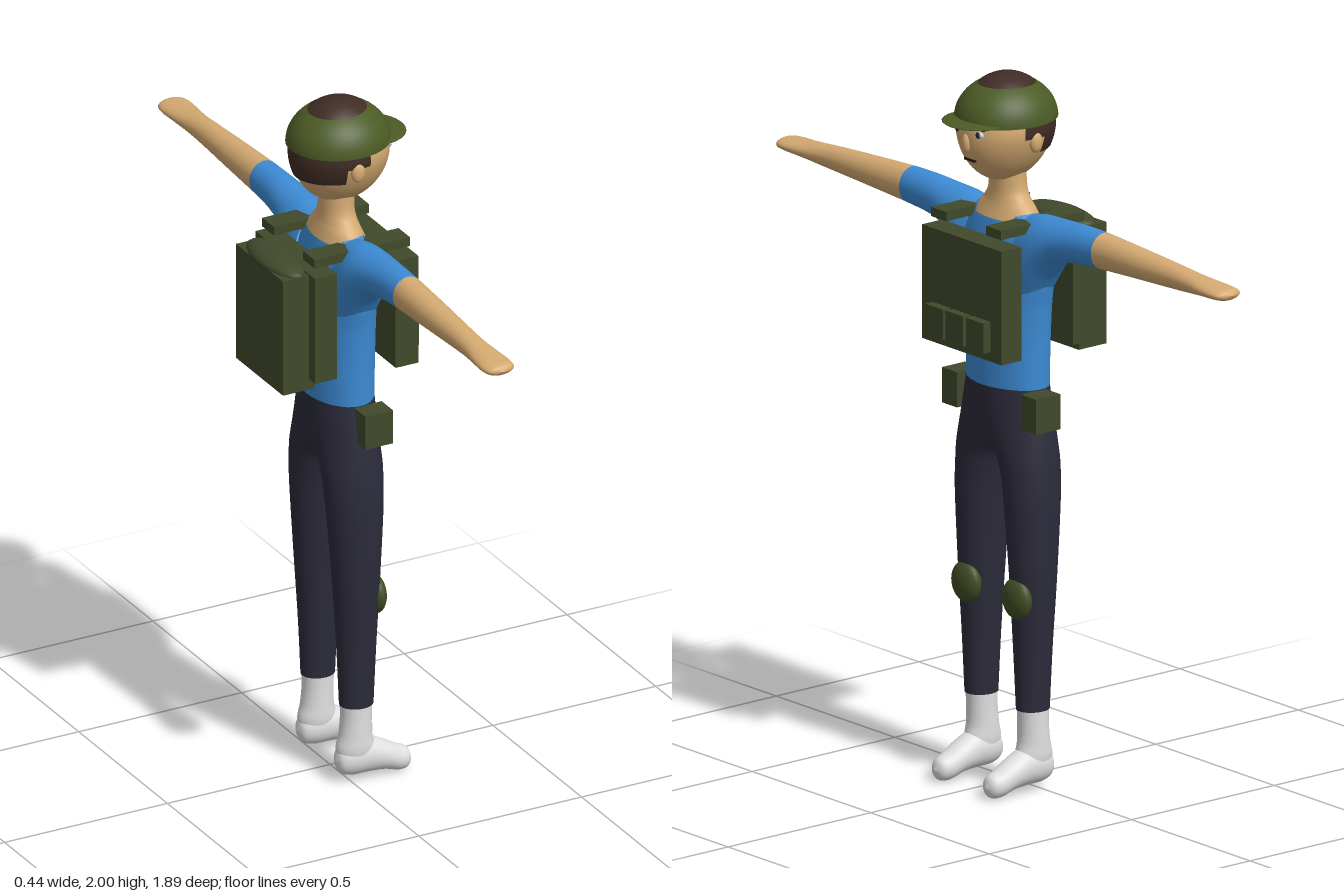
import * as THREE from 'three';

const mat = (name, color, side = THREE.FrontSide) => {
  const m = new THREE.MeshStandardMaterial({ color, side });
  m.name = name;
  return m;
};

// Smooth tube of elliptical rings [s, centre1, radius1, centre2, radius2] along an axis
function loft(axis, rings, steps = 6, seg = 32) {
  const times = rings.map((_, i) => i);
  const spline = new THREE.CubicInterpolant(new Float32Array(times), new Float32Array(rings.flat()), 5);
  const rows = (rings.length - 1) * steps;
  const pos = [], idx = [];
  for (let i = 0; i <= rows; i++) {
    const [s, c1, r1, c2, r2] = spline.evaluate(i / steps);
    for (let j = 0; j < seg; j++) {
      const a = (j / seg) * Math.PI * 2;
      const u = c1 + Math.max(r1, 0) * Math.cos(a), v = c2 + Math.max(r2, 0) * Math.sin(a);
      if (axis === 'x') pos.push(s, u, v);
      else if (axis === 'y') pos.push(u, s, v);
      else pos.push(u, v, s);
    }
  }
  const forward = (axis !== 'y') === (rings[rings.length - 1][0] > rings[0][0]);
  for (let i = 0; i < rows; i++) {
    for (let j = 0; j < seg; j++) {
      const a = i * seg + j, b = i * seg + (j + 1) % seg, c = a + seg, d = b + seg;
      if (forward) idx.push(a, b, d, a, d, c);
      else idx.push(a, d, b, a, c, d);
    }
  }
  const g = new THREE.BufferGeometry();
  g.setAttribute('position', new THREE.Float32BufferAttribute(pos, 3));
  g.setIndex(idx);
  g.computeVertexNormals();
  return g;
}

// Ellipsoid part, narrowed towards the chin
function skull(center, radii, ...angles) {
  const g = new THREE.SphereGeometry(1, 40, 28, ...angles);
  const p = g.attributes.position;
  for (let i = 0; i < p.count; i++) {
    const y = p.getY(i);
    p.setZ(i, p.getZ(i) * (1 - 0.22 * Math.max(0, -y)));
  }
  g.scale(...radii).translate(...center);
  g.computeVertexNormals();
  return g;
}

export function createModel() {
  const skin = mat('skin', 0xd6ab72);
  const hair = mat('hair', 0x3f2c25, THREE.DoubleSide);
  const capGreen = mat('cap green', 0x4c5b25, THREE.DoubleSide);
  const gear = mat('gear green', 0x404a2b);
  const padGreen = mat('pad green', 0x414d24);
  const shirt = mat('shirt blue', 0x3d8cd6, THREE.DoubleSide);
  const trousers = mat('trouser navy', 0x2c2b3b, THREE.DoubleSide);
  const white = mat('white', 0xe0e0e0);
  const iris = mat('iris blue', 0x1c2a48);
  const dark = mat('dark brown', 0x2a1a16);

  const model = new THREE.Group();
  const add = (name, geometry, material) => {
    const m = new THREE.Mesh(geometry, material);
    m.name = name;
    model.add(m);
    return m;
  };
  const box = (name, m, x0, x1, y0, y1, z0, z1) =>
    add(name, new THREE.BoxGeometry(x1 - x0, y1 - y0, Math.abs(z1 - z0))
      .translate((x0 + x1) / 2, (y0 + y1) / 2, (z0 + z1) / 2), m);
  const ball = (name, m, c, r) =>
    add(name, new THREE.SphereGeometry(1, 24, 16).scale(...r).translate(...c), m);

  // Torso and neck
  add('torso', loft('y', [
    [1.132, 0.018, 0.09, 0, 0.14], [1.25, 0.018, 0.092, 0, 0.142], [1.36, 0.018, 0.092, 0, 0.15],
    [1.44, 0.018, 0.09, 0, 0.163], [1.52, 0.02, 0.08, 0, 0.165], [1.585, 0.02, 0.066, 0, 0.14],
    [1.62, 0.019, 0.055, 0, 0.105], [1.638, 0.018, 0.045, 0, 0.075],
  ]), shirt);
  add('neck', loft('y', [
    [1.6, 0.019, 0.066, 0, 0.118], [1.628, 0.018, 0.056, 0, 0.098], [1.65, 0.018, 0.05, 0, 0.076],
    [1.68, 0.018, 0.047, 0, 0.06], [1.74, 0.02, 0.047, 0, 0.055],
  ]), skin);

  // Head, hair and face
  const hairC = [0.024, 1.849, 0], hairR = [0.139, 0.151, 0.127];
  add('head', skull([0.03, 1.845, 0], [0.138, 0.146, 0.123]), skin);
  add('hairCrown', skull(hairC, hairR, 0, Math.PI * 2, 0, 1.36), hair);
  add('hairSides', skull(hairC, hairR, -1.82, 3.64, 1.2, 0.44), hair);
  add('hairBack', skull(hairC, hairR, -1.32, 2.64, 1.2, 0.77), hair);
  ball('nose', skin, [0.164, 1.825, 0], [0.012, 0.028, 0.015]);
  box('mouth', dark, 0.146, 0.154, 1.772, 1.779, -0.022, 0.022);
  for (const s of [1, -1]) {
    ball('ear', skin, [0.02, 1.828, s * 0.12], [0.02, 0.03, 0.014]);
    ball('eyeWhite', white, [0.155, 1.855, s * 0.043], [0.006, 0.01, 0.018]);
    ball('iris', iris, [0.159, 1.855, s * 0.043], [0.004, 0.009, 0.009]);
    box('eyebrow', dark, 0.146, 0.155, 1.868, 1.873, s * 0.027, s * 0.061);
  }

  // Cap open at the crown, with a flat peak
  add('cap', new THREE.SphereGeometry(1, 40, 16, 0, Math.PI * 2, 0, Math.PI / 2)
    .scale(0.146, 0.116, 0.134).translate(0.025, 1.875, 0), capGreen);
  ball('capPeak', capGreen, [0.125, 1.881, 0], [0.095, 0.008, 0.1]);

  for (const s of [1, -1]) {
    // Arms
    add('sleeve', loft('z', [
      [0.1, 0.018, 0.078, 1.475, 0.145], [0.15, 0.018, 0.076, 1.52, 0.11], [0.19, 0.018, 0.07, 1.55, 0.082],
      [0.24, 0.018, 0.06, 1.573, 0.061], [0.31, 0.018, 0.051, 1.583, 0.055], [0.405, 0.018, 0.046, 1.587, 0.051],
    ].map(([z, ...r]) => [s * z, ...r])), shirt);
    add('forearmAndHand', loft('z', [
      [0.405, 0.018, 0.046, 1.587, 0.051], [0.55, 0.018, 0.042, 1.587, 0.043], [0.7, 0.018, 0.036, 1.586, 0.035],
      [0.78, 0.018, 0.036, 1.585, 0.029], [0.85, 0.018, 0.043, 1.585, 0.022], [0.905, 0.018, 0.046, 1.585, 0.018],
      [0.935, 0.018, 0.036, 1.585, 0.014], [0.947, 0.018, 0, 1.585, 0],
    ].map(([z, ...r]) => [s * z, ...r])), skin);

    // Trouser legs: [y, centre x, radius x, inner z, outer z]; they merge at the hips
    add('trouserLeg', loft('y', [
      [1.135, 0.018, 0.09, -0.14, 0.14], [1.06, 0.018, 0.09, -0.11, 0.154], [0.99, 0.018, 0.088, -0.05, 0.165],
      [0.935, 0.018, 0.086, 0, 0.171], [0.88, 0.018, 0.083, 0.018, 0.175], [0.8, 0.019, 0.079, 0.03, 0.177],
      [0.6, 0.02, 0.066, 0.045, 0.172], [0.4, 0.021, 0.055, 0.057, 0.16], [0.23, 0.021, 0.048, 0.066, 0.151],
    ].map(([y, cx, rx, a, b]) => [y, cx, rx, s * (a + b) / 2, (b - a) / 2])), trousers);
    ball('kneePad', padGreen, [0.075, 0.548, s * 0.107], [0.029, 0.058, 0.054]);

    // Socked feet pointing along +x
    const z = s * 0.108;
    add('ankle', loft('y', [
      [0.245, 0.021, 0.046, z, 0.041], [0.19, 0.02, 0.044, z, 0.041], [0.14, 0.018, 0.047, z, 0.042],
      [0.1, 0.018, 0.056, z, 0.042], [0.06, 0.02, 0.05, z, 0.035],
    ]), white);
    add('foot', loft('x', [
      [-0.043, 0.068, 0, z, 0], [-0.032, 0.068, 0.034, z, 0.027], [0, 0.073, 0.052, z, 0.04],
      [0.05, 0.073, 0.053, z, 0.043], [0.1, 0.06, 0.044, z, 0.042], [0.145, 0.041, 0.038, z, 0.037],
      [0.174, 0.036, 0.028, z, 0.026], [0.186, 0.036, 0, z, 0],
    ]), white);

    // Shoulder straps and hip pouches
    box('shoulderStrap', gear, -0.128, 0.165, 1.585, 1.611, s * 0.083, s * 0.148);
    box('hipPouch', gear, 0, 0.085, 1.033, 1.132, s * 0.135, s * 0.199);
  }

  // Vest plates, chest pouches and backpack with a bed roll
  box('chestPlate', gear, 0.11, 0.18, 1.24, 1.56, -0.168, 0.168);
  box('backPlate', gear, -0.138, -0.07, 1.25, 1.565, -0.168, 0.168);
  for (const z of [-0.085, 0, 0.085]) box('chestPouch', gear, 0.18, 0.206, 1.267, 1.352, z - 0.037, z + 0.037);
  box('backpack', gear, -0.217, -0.12, 1.218, 1.56, -0.133, 0.133);
  ball('bedRoll', gear, [-0.168, 1.56, 0], [0.053, 0.028, 0.133]);

  return model;
}
